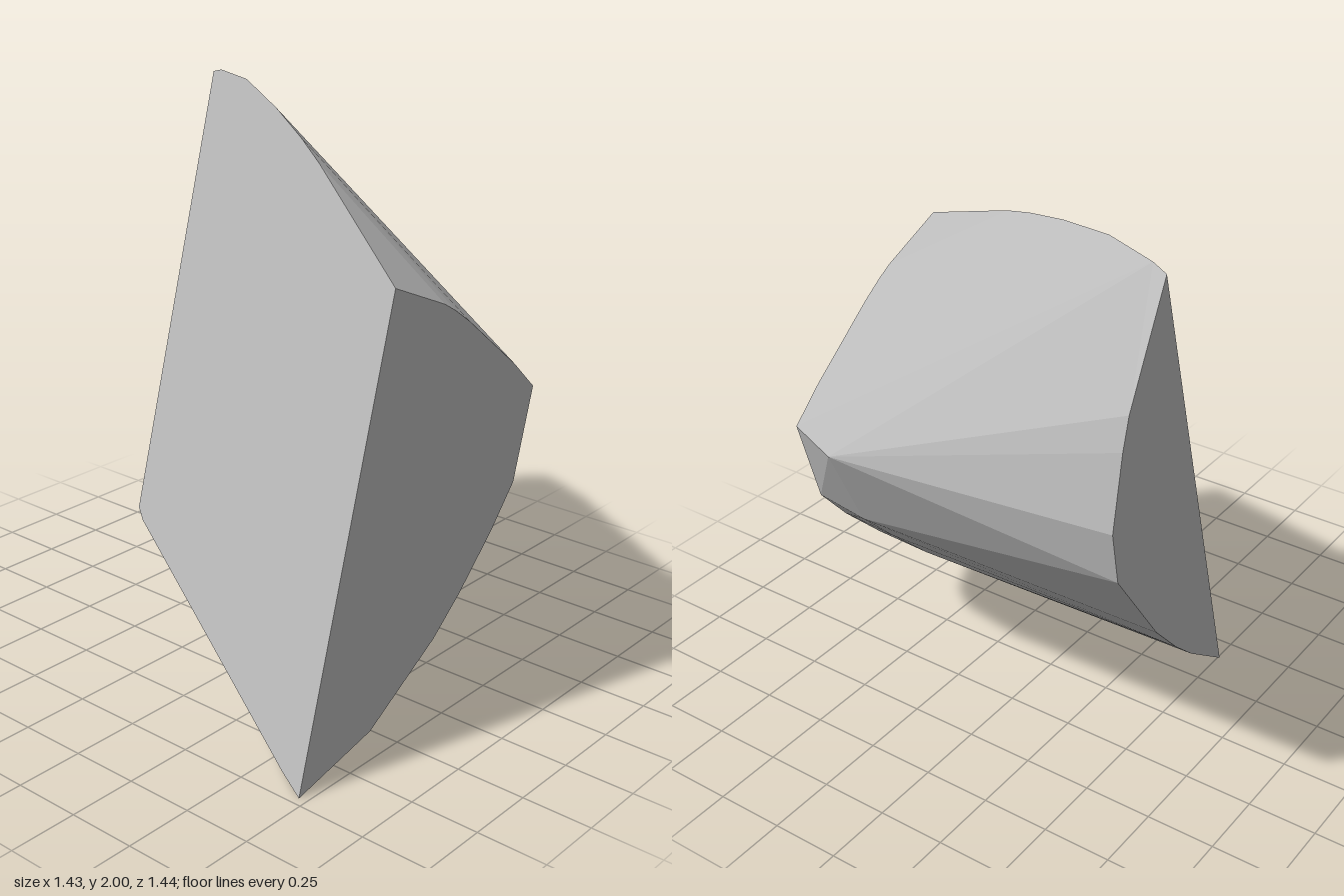
import * as THREE from 'three';
import { ConvexGeometry } from 'three/addons/geometries/ConvexGeometry.js';

export function createModel() {
  const stone = new THREE.MeshStandardMaterial({ color: 0xbcbcbc });
  stone.name = 'grey stone';

  // Outlines of the two parallel end faces, as [x, y]
  const frontFace = [
    [-0.36, 0.08], [-0.02, 0.285], [0.12, 0.4], [0.3, 0.575], [0.425, 0.72],
    [0.52, 1.05], [0.4, 1.16], [0.12, 1.38], [0.04, 1.435], [-0.02, 1.47],
  ];
  const backFace = [
    [0.205, 0.49], [0.31, 0.583], [0.44, 0.72], [0.68, 1.05],
    [0.715, 1.24], [0.67, 1.5], [0.64, 1.61],
  ];
  // Blunted edge just behind the front face
  const shoulder = [[0.12, 0.39], [0.31, 0.57], [0.46, 0.72], [0.615, 1.05]];
  // Rim of the sloping flat cut, as [z, y]; x follows from its plane
  const cutRim = [
    [0.72, 0], [0.6, 0.02], [-0.67, 0.315], [-0.72, 0.345],
    [-0.72, 1.985], [-0.66, 2], [-0.45, 2], [-0.2, 1.945],
    [0, 1.885], [0.15, 1.83], [0.72, 1.58],
  ];

  const at = (z) => ([x, y]) => new THREE.Vector3(x, y, z);
  const onCut = ([z, y]) => new THREE.Vector3(-0.72 + 0.2785 * y + 0.434 * (0.72 - z), y, z);
  const points = [
    ...frontFace.map(at(0.72)),
    ...shoulder.map(at(0.49)),
    ...backFace.map(at(-0.72)),
    ...cutRim.map(onCut),
  ];

  // Faceted rock fragment
  const fragment = new THREE.Mesh(new ConvexGeometry(points), stone);
  fragment.name = 'rockFragment';

  const group = new THREE.Group();
  group.name = 'rock';
  group.add(fragment);
  return group;
}
